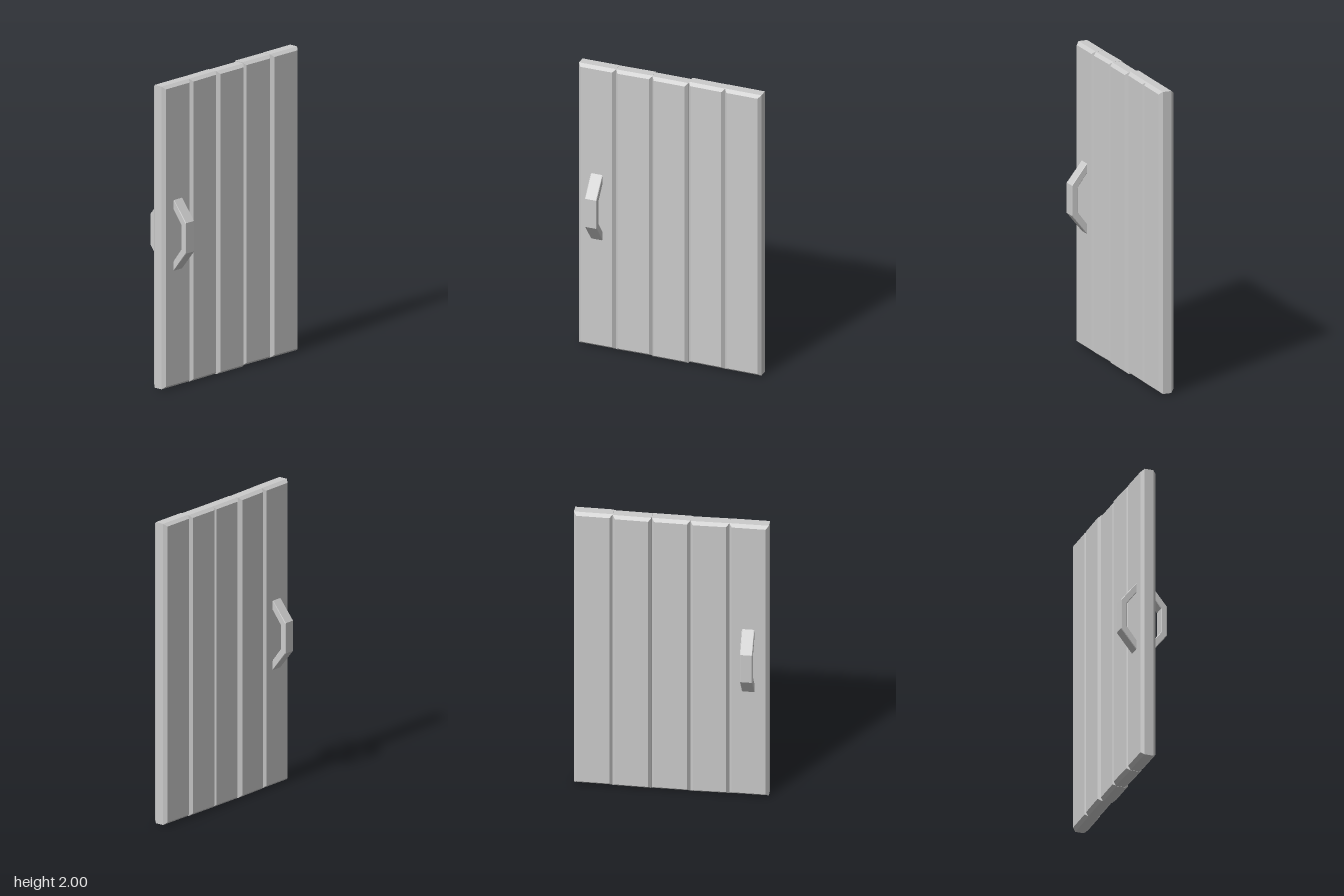
import * as THREE from 'three';

const material = new THREE.MeshStandardMaterial({ color: 0xcccccc, flatShading: true });

// Extrudes an outline to a total depth, centred on z = 0, with one chamfer inside the outline.
function chamferedSlab(points, depth, inset, thickness) {
  const geometry = new THREE.ExtrudeGeometry(new THREE.Shape(points), {
    depth: depth - 2 * thickness,
    bevelEnabled: true,
    bevelSegments: 1,
    bevelSize: inset,
    bevelOffset: -inset,
    bevelThickness: thickness,
  });
  return geometry.translate(0, 0, -depth / 2 + thickness);
}

const v = (x, y) => new THREE.Vector2(x, y);

export function createModel() {
  const door = new THREE.Group();
  door.name = 'plankDoor';

  // Five upright planks, each slightly uneven: left, right, bottom, top, z offset, yaw
  const planks = [
    [-0.622, -0.37, 0.004, 1.994, -0.001, 0],
    [-0.37, -0.122, 0.002, 1.993, -0.003, 0.02],
    [-0.122, 0.124, 0, 1.992, 0.002, -0.006],
    [0.124, 0.372, 0.004, 1.997, -0.005, -0.016],
    [0.372, 0.62, 0.005, 2, 0.001, -0.008],
  ];
  planks.forEach(([left, right, bottom, top, z, yaw], i) => {
    const half = (right - left) / 2;
    const outline = [v(-half, bottom), v(half, bottom), v(half, top), v(-half, top)];
    const plank = new THREE.Mesh(chamferedSlab(outline, 0.103, 0.018, 0.022), material);
    plank.name = `plank${i + 1}`;
    plank.position.set((left + right) / 2, 0, z);
    plank.rotation.y = yaw;
    door.add(plank);
  });

  // Angular pull handles on both faces; profile is distance from the door against height
  const profile = [
    v(0.03, 1.26), v(0.03, 1.195), v(0.115, 1.083), v(0.115, 0.921),
    v(0.03, 0.809), v(0.03, 0.744), v(0.156, 0.902), v(0.156, 1.102),
  ];
  for (const side of [1, -1]) {
    const handle = new THREE.Mesh(chamferedSlab(profile, 0.08, 0.004, 0.004), material);
    handle.name = side > 0 ? 'frontHandle' : 'backHandle';
    handle.position.x = -0.493;
    handle.rotation.y = -side * Math.PI / 2;
    door.add(handle);
  }

  return door;
}
